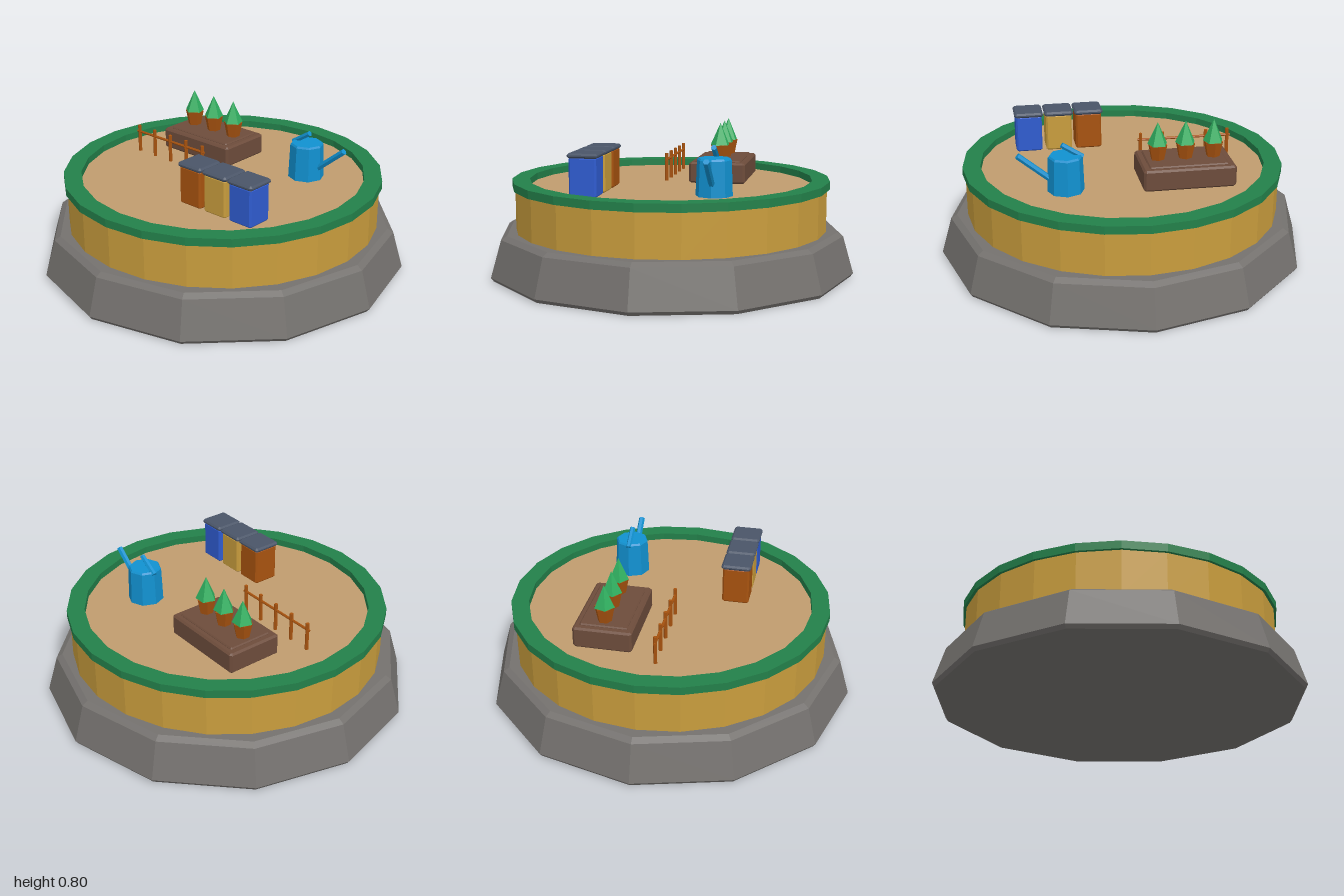
import * as THREE from 'three';

const mat = (name, color) => {
  const m = new THREE.MeshStandardMaterial({ color, flatShading: true });
  m.name = name;
  return m;
};

export function createModel() {
  const stone = mat('stone grey', 0x74716e);
  const ochre = mat('ochre', 0xc99d3d);
  const hedge = mat('dark green', 0x23804a);
  const sand = mat('sand', 0xc09c6e);
  const soil = mat('soil brown', 0x6d4c3b);
  const clay = mat('clay brown', 0xa8530f);
  const slate = mat('slate', 0x4a5568);
  const blue = mat('bin blue', 0x2f5cd0);
  const canBlue = mat('can blue', 0x1191d0);
  const leaf = mat('leaf green', 0x2fae5f);

  const root = new THREE.Group();
  root.name = 'gardenDiorama';
  const FLOOR = 0.475;

  const add = (parent, name, geo, material, x = 0, y = 0, z = 0) => {
    const mesh = new THREE.Mesh(geo, material);
    mesh.name = name;
    mesh.position.set(x, y, z);
    parent.add(mesh);
    return mesh;
  };
  const group = (name, x = 0, y = 0, z = 0) => {
    const g = new THREE.Group();
    g.name = name;
    g.position.set(x, y, z);
    root.add(g);
    return g;
  };
  const lathe = (pts, sides) =>
    new THREE.LatheGeometry(pts.map(([r, y]) => new THREE.Vector2(r, y)), sides);

  // Box standing on y = 0 with all edges chamfered by c
  const bevelBox = (w, h, d, c) => {
    const x = w / 2 - c, z = d / 2 - c, k = c * 0.6;
    const shape = new THREE.Shape([
      [x, -z + k], [x, z - k], [x - k, z], [-x + k, z],
      [-x, z - k], [-x, -z + k], [-x + k, -z], [x - k, -z],
    ].map(([a, b]) => new THREE.Vector2(a, b)));
    return new THREE.ExtrudeGeometry(shape, {
      depth: h - 2 * c, bevelEnabled: true, bevelThickness: c, bevelSize: c, bevelSegments: 1,
    }).rotateX(-Math.PI / 2).translate(0, c, 0);
  };

  // Straight rod between two points
  const rod = (parent, name, a, b, r0, r1, sides, material) => {
    const p = new THREE.Vector3(...a), q = new THREE.Vector3(...b);
    const dir = q.clone().sub(p);
    const mesh = add(parent, name, new THREE.CylinderGeometry(r1, r0, dir.length(), sides), material);
    mesh.position.copy(p).add(q).multiplyScalar(0.5);
    mesh.quaternion.setFromUnitVectors(new THREE.Vector3(0, 1, 0), dir.normalize());
    return mesh;
  };

  // Plinth, drum, rim and ground
  add(root, 'stonePlinth', lathe([[0, 0], [0.985, 0], [1, 0.02], [0.942, 0.22], [0.91, 0.24], [0, 0.24]], 12), stone);
  add(root, 'drum', new THREE.CylinderGeometry(0.85, 0.85, 0.24, 24), ochre, 0, 0.35, 0);
  add(root, 'rim', lathe([[0.77, 0.47], [0.865, 0.47], [0.865, 0.513], [0.77, 0.513], [0.77, 0.47]], 24), hedge);
  add(root, 'ground', new THREE.CylinderGeometry(0.79, 0.79, 0.01, 24), sand, 0, FLOOR - 0.005, 0);

  // Raised bed with three potted shrubs
  const bed = group('raisedBed', -0.295, FLOOR, -0.245);
  add(bed, 'bedBox', bevelBox(0.49, 0.115, 0.31, 0.01), soil);
  add(bed, 'bedSoil', bevelBox(0.42, 0.03, 0.25, 0.006), soil, 0, 0.093, 0);
  for (const x of [-0.15, 0, 0.148]) {
    add(bed, 'pot', new THREE.CylinderGeometry(0.053, 0.036, 0.085, 6), clay, x, 0.162, -0.005);
    add(bed, 'shrub', new THREE.ConeGeometry(0.055, 0.122, 5), leaf, x, 0.265, -0.005);
  }

  // Low fence
  const fence = group('fence', -0.355, FLOOR, 0.047);
  for (let i = -2; i <= 2; i++) {
    add(fence, 'fencePost', new THREE.CylinderGeometry(0.01, 0.01, 0.155, 6), clay, i * 0.122, 0.0775, 0);
  }
  rod(fence, 'fenceRail', [-0.26, 0.118, 0], [0.26, 0.118, 0], 0.007, 0.007, 6, clay);

  // Row of lidded bins
  [clay, ochre, blue].forEach((material, i) => {
    const bin = group('bin', 0.145 + i * 0.168, FLOOR, 0.343);
    add(bin, 'binBody', bevelBox(0.145, 0.205, 0.145, 0.008), material);
    add(bin, 'binLid', bevelBox(0.16, 0.025, 0.16, 0.009), slate, 0, 0.2, 0);
  });

  // Watering can
  const can = group('wateringCan', 0.343, FLOOR, -0.297);
  add(can, 'canBody', lathe([[0, 0], [0.097, 0], [0.09, 0.185], [0.083, 0.195], [0, 0.195]], 8), canBlue);
  rod(can, 'spout', [0.07, 0.06, 0], [0.245, 0.205, 0], 0.017, 0.017, 6, canBlue);
  rod(can, 'handle', [-0.09, 0.18, 0], [0.018, 0.25, 0], 0.015, 0.015, 6, canBlue);

  return root;
}
